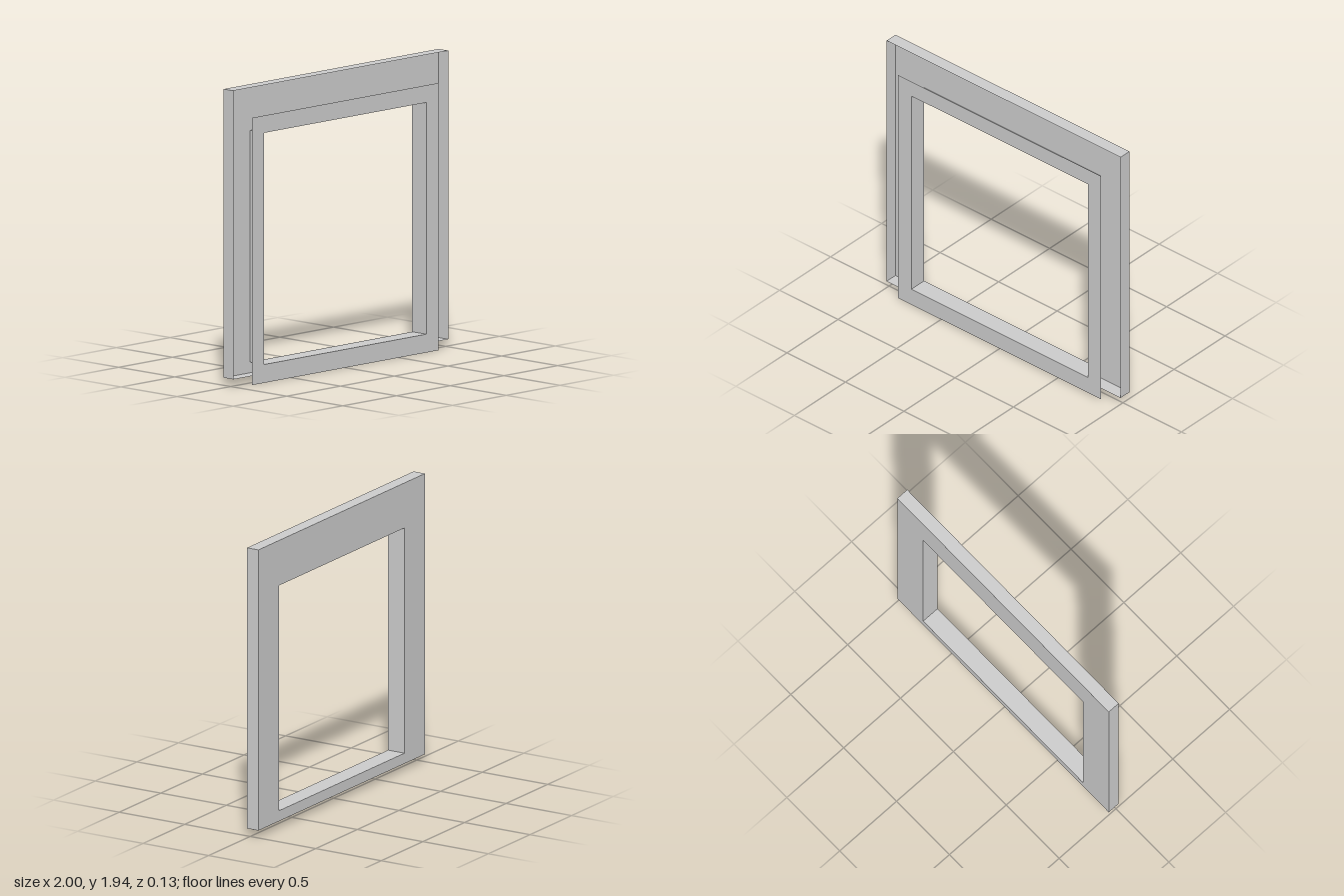
import * as THREE from 'three';

// Rectangles as [half width, bottom, top]
const OUTER = [1, 0.05, 1.94];
const FLANGE = [0.868, 0, 1.75];
const OPENING = [0.755, 0.12, 1.637];
const BACK = -0.063, RIM = 0.024, FRONT = 0.063;

const corners = ([w, b, t]) => [[-w, b], [w, b], [w, t], [-w, t]].map(([x, y]) => new THREE.Vector2(x, y));

// Flat sheet with the window opening cut out
function sheet(rect, z) {
  const shape = new THREE.Shape(corners(rect));
  shape.holes.push(new THREE.Path(corners(OPENING).reverse()));
  return new THREE.ShapeGeometry(shape).translate(0, 0, z);
}

// Four thin walls around a rectangle, from z0 to z1
function walls(rect, z0, z1) {
  const pts = corners(rect), pos = [];
  pts.forEach((a, i) => {
    const b = pts[(i + 1) % 4];
    pos.push(a.x, a.y, z0, b.x, b.y, z0, b.x, b.y, z1);
    pos.push(a.x, a.y, z0, b.x, b.y, z1, a.x, a.y, z1);
  });
  const geo = new THREE.BufferGeometry();
  geo.setAttribute('position', new THREE.Float32BufferAttribute(pos, 3));
  geo.computeVertexNormals();
  return geo;
}

export function createModel() {
  const group = new THREE.Group();
  group.name = 'windowFrame';
  const material = new THREE.MeshStandardMaterial({ color: 0xcccccc, flatShading: true, side: THREE.DoubleSide });
  const add = (name, geometry) => {
    const mesh = new THREE.Mesh(geometry, material);
    mesh.name = name;
    group.add(mesh);
  };

  // Shallow tray, open at the front
  add('backPanel', sheet(OUTER, BACK));
  add('outerRim', walls(OUTER, BACK, RIM));
  // Lining of the opening, joining the tray to the front flange
  add('openingLining', walls(OPENING, BACK, FRONT));
  add('frontFlange', sheet(FLANGE, FRONT));
  return group;
}
